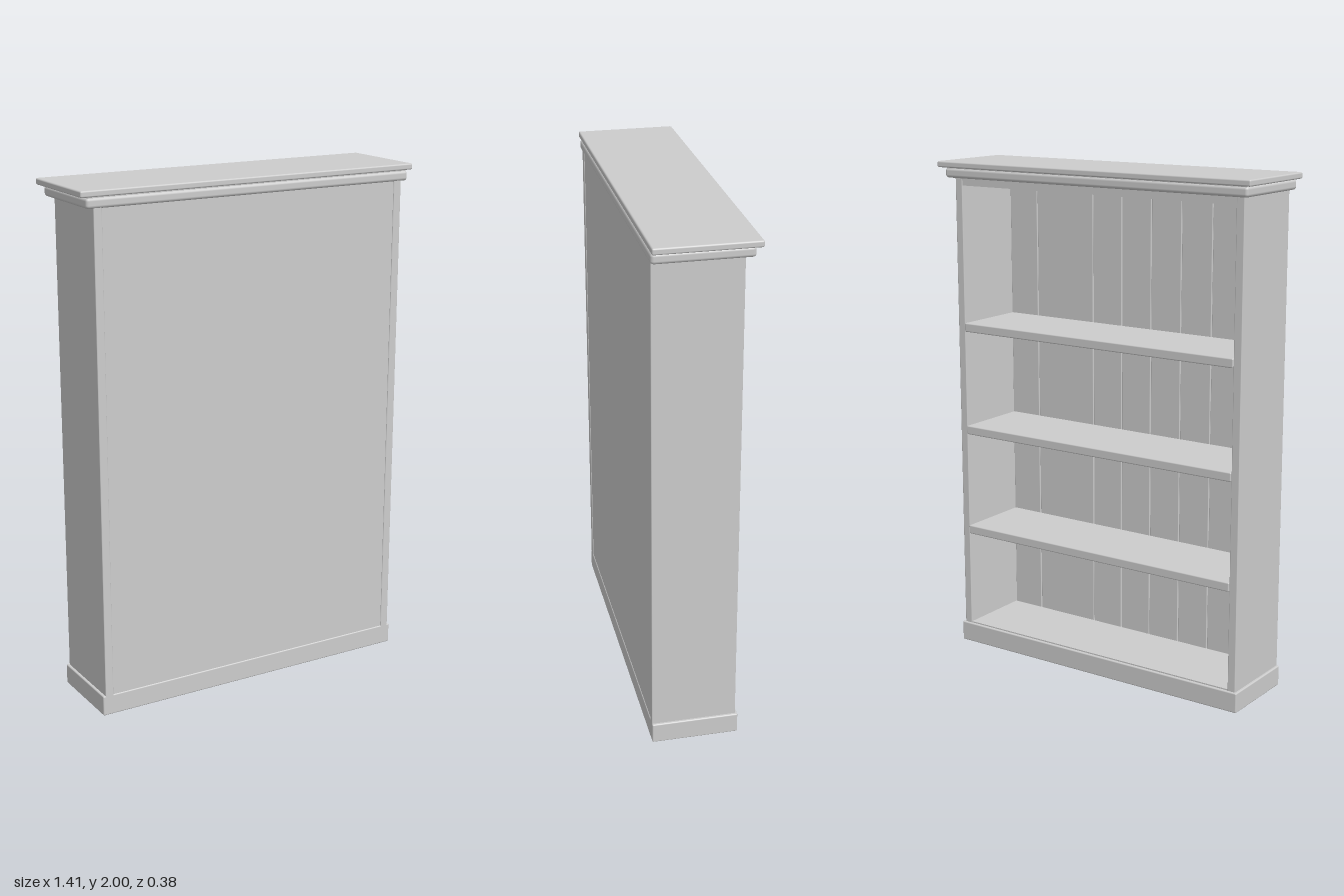
import * as THREE from 'three';
import { RoundedBoxGeometry } from 'three/addons/geometries/RoundedBoxGeometry.js';

export function createModel() {
  const model = new THREE.Group();
  model.name = 'bookcase';
  const paint = new THREE.MeshStandardMaterial({ color: 0xcccccc });
  paint.name = 'light grey paint';

  // Softened board given by its limits on each axis
  function board(name, [x0, x1], [y0, y1], [z0, z1], radius = 0.003) {
    const w = x1 - x0, h = y1 - y0, d = z1 - z0;
    const geometry = radius > 0
      ? new RoundedBoxGeometry(w, h, d, 2, radius)
      : new THREE.BoxGeometry(w, h, d);
    const mesh = new THREE.Mesh(geometry, paint);
    mesh.name = name;
    mesh.position.set((x0 + x1) / 2, (y0 + y1) / 2, (z0 + z1) / 2);
    model.add(mesh);
    return mesh;
  }

  const inner = 0.622;

  // Plinth and upright sides
  board('plinth', [-0.665, 0.665], [0, 0.08], [-0.148, 0.185], 0.005);
  board('leftSide', [inner, 0.655], [0.07, 1.94], [-0.14, 0.185]);
  board('rightSide', [-0.655, -inner], [0.07, 1.94], [-0.14, 0.185]);

  // Floor and ceiling boards
  board('floorBoard', [-inner, inner], [0.05, 0.085], [-0.138, 0.18], 0);
  board('ceilingBoard', [-inner, inner], [1.905, 1.94], [-0.138, 0.182], 0);

  // Shelves
  for (const top of [0.51, 0.934, 1.358]) {
    board('shelf', [-inner, inner], [top - 0.036, top], [-0.144, 0.17], 0.005);
  }

  // Closed panel, lined with grooved planks on the shelf side
  board('backPanel', [-inner, inner], [0.07, 1.92], [0.17, 0.182], 0);
  const pitch = (2 * inner) / 9;
  const seams = [0, 1, 3, 4, 5, 6, 7, 8, 9].map((k) => inner - k * pitch);
  for (let i = 0; i < seams.length - 1; i++) {
    board('plank', [seams[i + 1] + 0.002, seams[i] - 0.002], [0.08, 1.91], [0.163, 0.172], 0.002);
  }

  // Stepped cornice
  board('corniceMoulding', [-0.683, 0.683], [1.935, 1.974], [-0.17, 0.19], 0.012);
  board('corniceNeck', [-0.676, 0.676], [1.965, 1.985], [-0.165, 0.184], 0);
  board('corniceTop', [-0.705, 0.705], [1.976, 2], [-0.19, 0.19], 0.006);

  return model;
}
